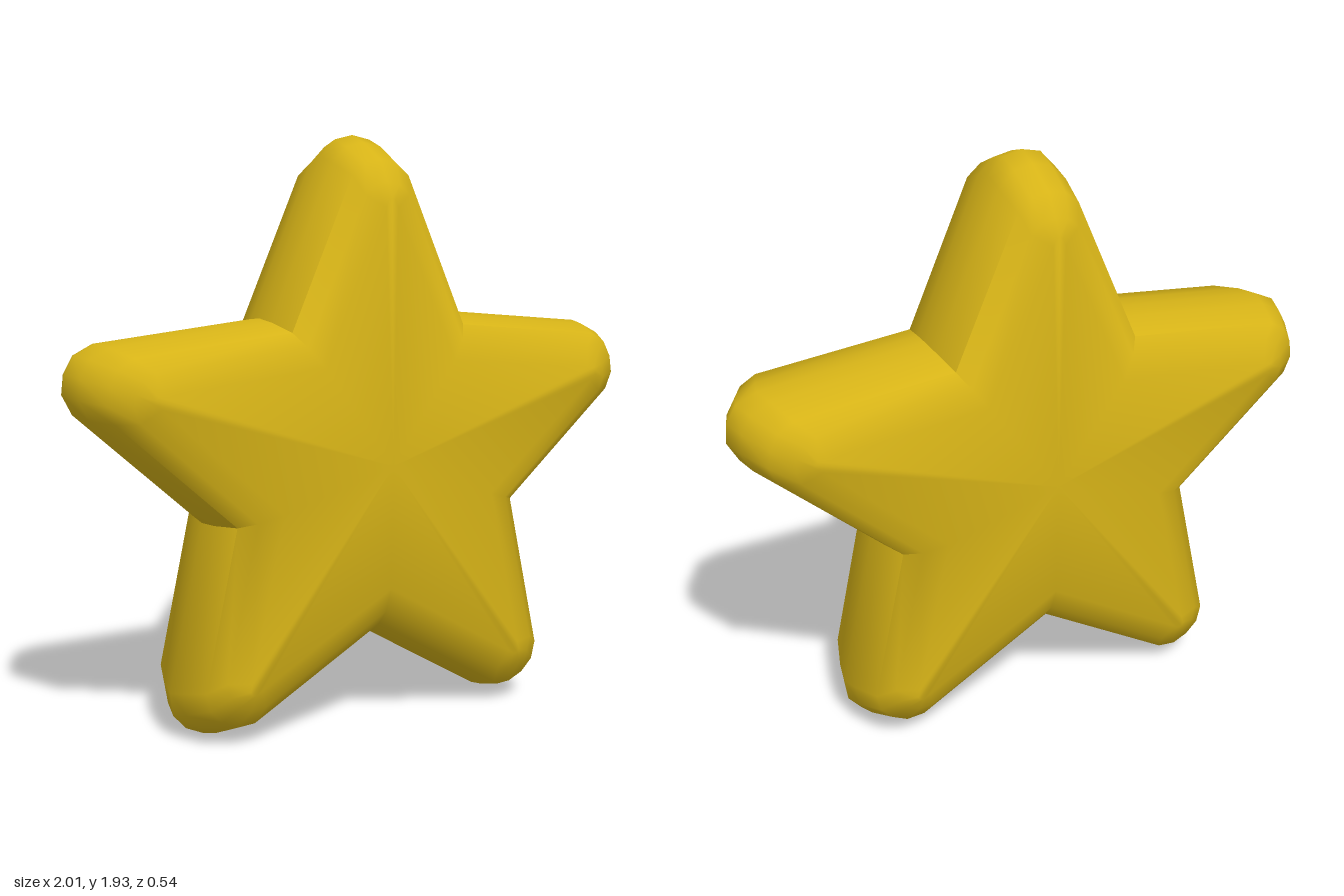
import * as THREE from 'three';
import { toCreasedNormals } from 'three/addons/utils/BufferGeometryUtils.js';

const CENTRE_Y = 0.873;
const VALLEY_RADIUS = 0.578;

// Cross-sections from the rim to the face: depth, inset of the arm sides, tip radius, shoulder radius
const HALF_SECTIONS = [
  { z: 0, inset: 0, tip: 1.05, shoulder: 0.98 },
  { z: 0.075, inset: 0.008, tip: 1.025, shoulder: 0.96 },
  { z: 0.185, inset: 0.035, tip: 0.97, shoulder: 0.92 },
  { z: 0.23, inset: 0.08, tip: 0.9, shoulder: 0.86 },
  { z: 0.26, inset: 0.15, tip: 0.85, shoulder: 0.82 },
];

// Clockwise star outline at one depth, with five rounded arms
function starRing({ z, inset, tip, shoulder }) {
  const halfWidth = (0.501 - inset - 0.404 * shoulder) / 0.916;
  const valley = VALLEY_RADIUS - inset / 0.866;
  const midX = halfWidth * 0.55;
  const midR = tip - 0.2 * (tip - shoulder);
  const arm = [
    [-halfWidth, shoulder], [-midX, midR], [0, tip], [midX, midR], [halfWidth, shoulder],
    [valley * Math.sin(Math.PI / 5), valley * Math.cos(Math.PI / 5)],
  ];
  const ring = [];
  for (let i = 0; i < 5; i++) {
    const c = Math.cos(i * Math.PI * 0.4);
    const s = Math.sin(i * Math.PI * 0.4);
    for (const [x, y] of arm) ring.push([x * c + y * s, y * c - x * s, z]);
  }
  return ring;
}

function starGeometry() {
  // Mirror the sections to the back, then loft from back to front
  const back = HALF_SECTIONS.slice(1).reverse().map((s) => ({ ...s, z: -s.z }));
  const rings = [...back, ...HALF_SECTIONS].map(starRing);
  const n = rings[0].length;
  const positions = rings.flat(2);
  const indices = [];
  for (let i = 0; i < rings.length - 1; i++) {
    for (let j = 0; j < n; j++) {
      const k = (j + 1) % n;
      const a = i * n + j, b = i * n + k;
      indices.push(a, a + n, b, b, a + n, b + n);
    }
  }
  // Slightly domed front and back faces
  const backCentre = positions.length / 3;
  positions.push(0, 0, -0.272, 0, 0, 0.272);
  const last = (rings.length - 1) * n;
  for (let j = 0; j < n; j++) {
    const k = (j + 1) % n;
    indices.push(backCentre, j, k, backCentre + 1, last + k, last + j);
  }
  const geometry = new THREE.BufferGeometry();
  geometry.setAttribute('position', new THREE.Float32BufferAttribute(positions, 3));
  geometry.setIndex(indices);
  // Smooth everywhere except the sharp valleys between the arms
  return toCreasedNormals(geometry, 0.9);
}

export function createModel() {
  const group = new THREE.Group();
  group.name = 'star';
  const body = new THREE.Mesh(starGeometry(), new THREE.MeshStandardMaterial({ color: 0xd6b317 }));
  body.name = 'starBody';
  body.position.y = CENTRE_Y;
  group.add(body);
  return group;
}
